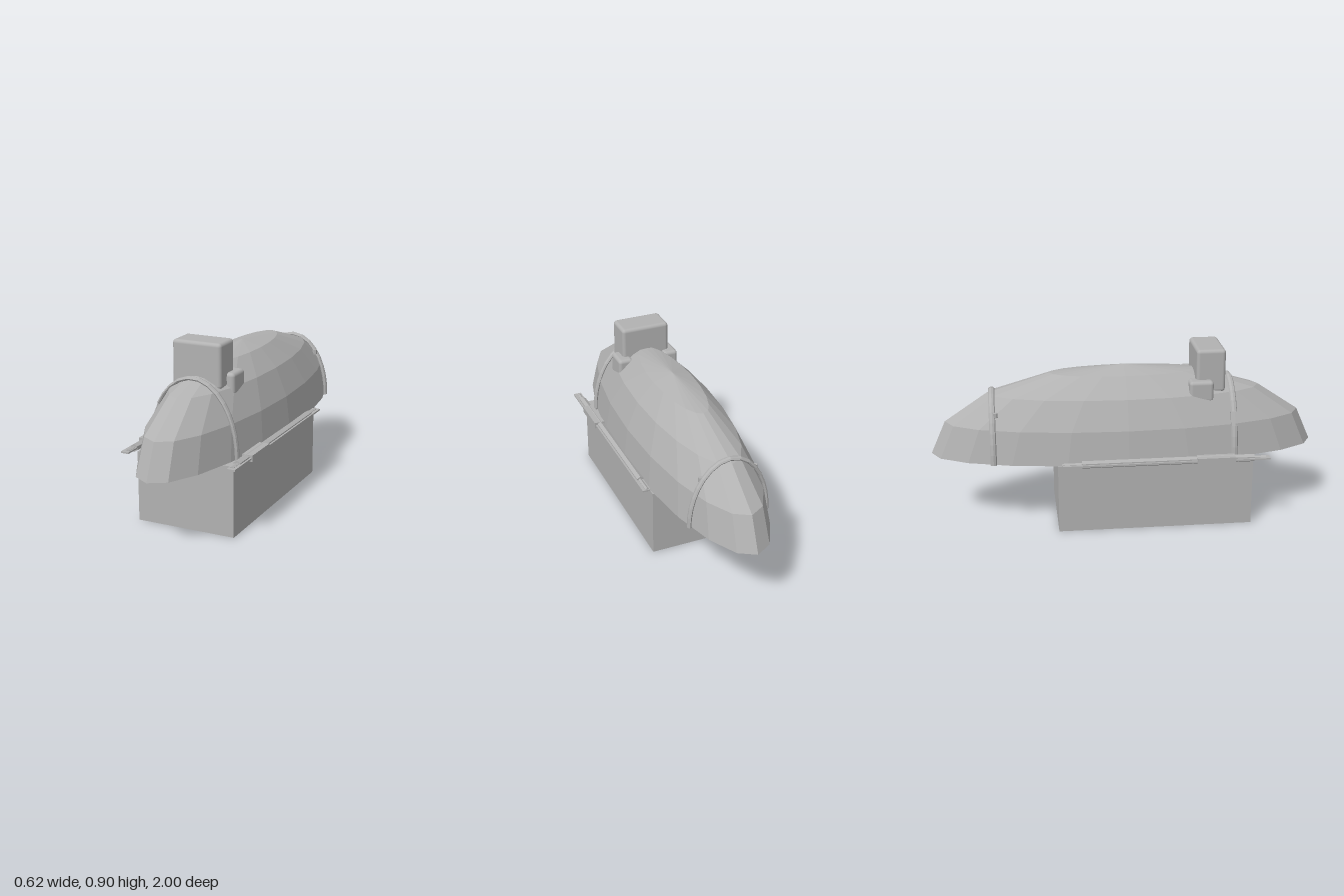
import * as THREE from 'three';
import { RoundedBoxGeometry } from 'three/addons/geometries/RoundedBoxGeometry.js';

const grey = new THREE.MeshStandardMaterial({ color: 0xb2b2b2, side: THREE.DoubleSide });
grey.name = 'plain grey';

const BASE = 0.36; // height of the shell's flat underside

function faceted(geometry) {
  const flat = geometry.toNonIndexed();
  flat.computeVertexNormals();
  return flat;
}

function add(parent, name, geometry, x = 0, y = 0, z = 0) {
  const mesh = new THREE.Mesh(geometry, grey);
  mesh.name = name;
  mesh.position.set(x, y, z);
  parent.add(mesh);
  return mesh;
}

// Box given by its lower and upper corners
function addBox(parent, name, lo, hi, radius = 0) {
  const size = hi.map((v, i) => v - lo[i]);
  const mid = hi.map((v, i) => (v + lo[i]) / 2);
  const geometry = radius
    ? new RoundedBoxGeometry(...size, 3, radius)
    : new THREE.BoxGeometry(...size);
  return add(parent, name, geometry, ...mid);
}

// Flattened band over the shell, between two angles in degrees
function addStrap(parent, name, rx, ry, z, from, to) {
  const points = [];
  const steps = Math.max(3, Math.round((to - from) / 11.25));
  for (let i = 0; i <= steps; i++) {
    const a = THREE.MathUtils.degToRad(from + ((to - from) * i) / steps);
    points.push(new THREE.Vector3(rx * Math.cos(a), ry * Math.sin(a), 0));
  }
  const path = new THREE.CatmullRomCurve3(points);
  const tube = new THREE.TubeGeometry(path, steps, 0.01, 8);
  tube.scale(1, 1, 1.6);
  add(parent, name, faceted(tube), 0, BASE, z);
}

// Rod lying along z
function addRod(parent, name, radius, z0, z1, x, y) {
  const rod = new THREE.CylinderGeometry(radius, radius, z1 - z0, 6);
  rod.rotateX(Math.PI / 2);
  add(parent, name, faceted(rod), x, y, (z0 + z1) / 2);
}

export function createModel() {
  const model = new THREE.Group();
  model.name = 'strappedHelmet';

  // Low-poly half ellipsoid with a closed underside
  const dome = new THREE.SphereGeometry(1, 20, 4, 0, Math.PI * 2, 0, Math.PI / 2);
  dome.scale(0.273, 0.45, 1);
  add(model, 'shell', faceted(dome), 0, BASE, 0);
  const under = new THREE.CircleGeometry(1, 20);
  under.rotateX(Math.PI / 2);
  under.scale(0.273, 1, 1);
  add(model, 'shellUnderside', under, 0, BASE, 0);

  // Block below the shell
  addBox(model, 'baseBlock', [-0.26, 0, -0.36], [0.26, BASE - 0.001, 0.64]);

  // Rounded block on top with a small lug at each side
  addBox(model, 'topBlock', [-0.13, 0.68, 0.36], [0.13, 0.905, 0.51], 0.018);
  for (const s of [-1, 1]) {
    addBox(model, 'sideLug', [s * 0.128 - 0.04, 0.64, 0.32], [s * 0.128 + 0.04, 0.75, 0.445], 0.018);
  }

  // Front strap, broken by a buckle on one side
  addStrap(model, 'frontStrap', 0.235, 0.376, 0.547, 0, 142);
  addStrap(model, 'frontStrapEnd', 0.235, 0.376, 0.547, 154, 180);
  const buckle = add(model, 'frontBuckle', new THREE.BoxGeometry(0.018, 0.075, 0.022), -0.195, 0.558, 0.54);
  buckle.rotation.z = -0.4;

  // Rear strap with a small stud at each side
  addStrap(model, 'rearStrap', 0.205, 0.335, -0.68, 0, 180);
  for (const s of [-1, 1]) {
    add(model, 'rearStud', faceted(new THREE.IcosahedronGeometry(0.014, 0).toNonIndexed
      ? new THREE.CylinderGeometry(0.013, 0.013, 0.024, 6) : null), s * 0.141, 0.605, -0.664);
  }

  // Side rails: thin plate, long core, thicker sleeve and clamp
  for (const s of [-1, 1]) {
    const rail = new THREE.Group();
    rail.name = s > 0 ? 'leftRail' : 'rightRail';
    const x = s * 0.284;
    addBox(rail, 'railPlate', [x - 0.021, 0.369, -0.34], [x + 0.021, 0.377, 0.72]);
    addRod(rail, 'railCore', 0.011, -0.335, 0.7, s * 0.279, 0.373);
    addRod(rail, 'railSleeve', 0.02, -0.24, 0.64, s * 0.278, 0.373);
    addBox(rail, 'railClamp', [x - 0.027, 0.359, 0.345], [x + 0.027, 0.391, 0.54]);
    model.add(rail);
  }

  return model;
}
